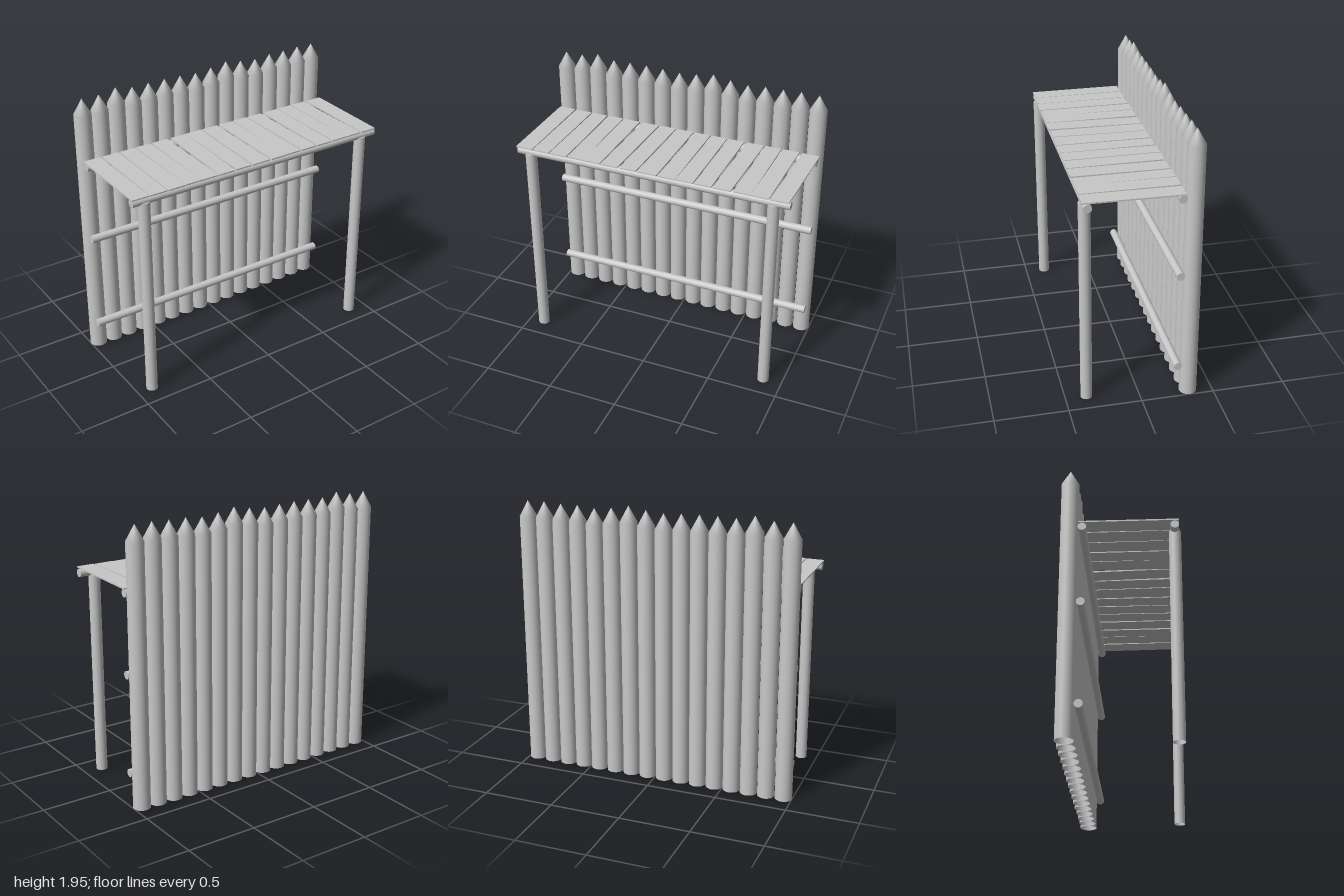
import * as THREE from 'three';

const wood = new THREE.MeshStandardMaterial({ color: 0xc8c8c8, side: THREE.DoubleSide });
wood.name = 'plain grey wood';

function add(parent, name, geometry, x, y, z) {
  const mesh = new THREE.Mesh(geometry, wood);
  mesh.name = name;
  mesh.position.set(x, y, z);
  parent.add(mesh);
  return mesh;
}

// Upright log, open at the foot, turned from a profile of [radius, height] pairs
function turned(profile) {
  return new THREE.LatheGeometry(profile.map(([r, y]) => new THREE.Vector2(r, y)), 28);
}

// Board whose back and front ends have their own left and right edges
function boardGeometry(back, front, zBack, zFront, thickness) {
  const geometry = new THREE.BoxGeometry(1, thickness, 1);
  const p = geometry.attributes.position;
  for (let i = 0; i < p.count; i++) {
    const atFront = p.getZ(i) > 0;
    const edges = atFront ? front : back;
    p.setX(i, edges[p.getX(i) > 0 ? 1 : 0]);
    p.setZ(i, atFront ? zFront : zBack);
  }
  geometry.computeVertexNormals();
  return geometry;
}

export function createModel() {
  const model = new THREE.Group();
  model.name = 'palisadeWithWalkway';

  // Wall of sharpened logs
  const wall = new THREE.Group();
  wall.name = 'palisadeWall';
  model.add(wall);
  const tips = [1.93, 1.93, 1.953, 1.928, 1.93, 1.93, 1.926, 1.918,
    1.93, 1.95, 1.928, 1.915, 1.926, 1.926, 1.932, 1.93];
  tips.forEach((tip, i) => {
    const shoulder = tip - 0.11;
    add(wall, 'sharpenedLog', turned([[0.06, 0], [0.06, shoulder], [0, tip]]),
      -0.94 + i * 0.1253, 0, -0.335);
  });

  // Horizontal rails on the wall and the beam under the walkway's front edge
  const rail = new THREE.CylinderGeometry(0.028, 0.028, 1.96, 24).rotateZ(Math.PI / 2);
  for (const [name, y, z] of [
    ['lowerRail', 0.225, -0.25], ['middleRail', 0.92, -0.25],
    ['walkwayRail', 1.473, -0.25], ['frontBeam', 1.473, 0.355],
  ]) add(model, name, rail, 0, y, z);

  // Front support posts
  const post = turned([[0.04, 0], [0.04, 1.465], [0.04, 1.465], [0, 1.465]]);
  for (const x of [-0.887, 0.865]) add(model, 'supportPost', post, x, 0, 0.355);

  // Uneven walkway boards: back left, back right, front left, front right
  const boards = [
    [-0.985, -0.862, -0.985, -0.862], [-0.85, -0.727, -0.856, -0.733],
    [-0.717, -0.599, -0.727, -0.599], [-0.588, -0.476, -0.594, -0.476],
    [-0.465, -0.342, -0.476, -0.348], [-0.316, -0.193, -0.342, -0.219],
    [-0.187, -0.064, -0.203, -0.086], [-0.054, 0.07, -0.075, 0.064],
    [0.086, 0.198, 0.075, 0.198], [0.209, 0.321, 0.198, 0.321],
    [0.332, 0.449, 0.332, 0.449], [0.471, 0.594, 0.46, 0.583],
    [0.604, 0.717, 0.599, 0.717], [0.727, 0.845, 0.717, 0.84],
    [0.866, 0.989, 0.85, 0.973],
  ];
  const walkway = new THREE.Group();
  walkway.name = 'walkway';
  model.add(walkway);
  boards.forEach(([a, b, c, d], i) => {
    const shift = (i % 3) * 0.003;
    add(walkway, 'walkwayBoard',
      boardGeometry([a, b], [c, d], -0.275 + shift, 0.383 + shift, 0.01), 0, 1.505 + shift / 3, 0);
  });

  return model;
}
